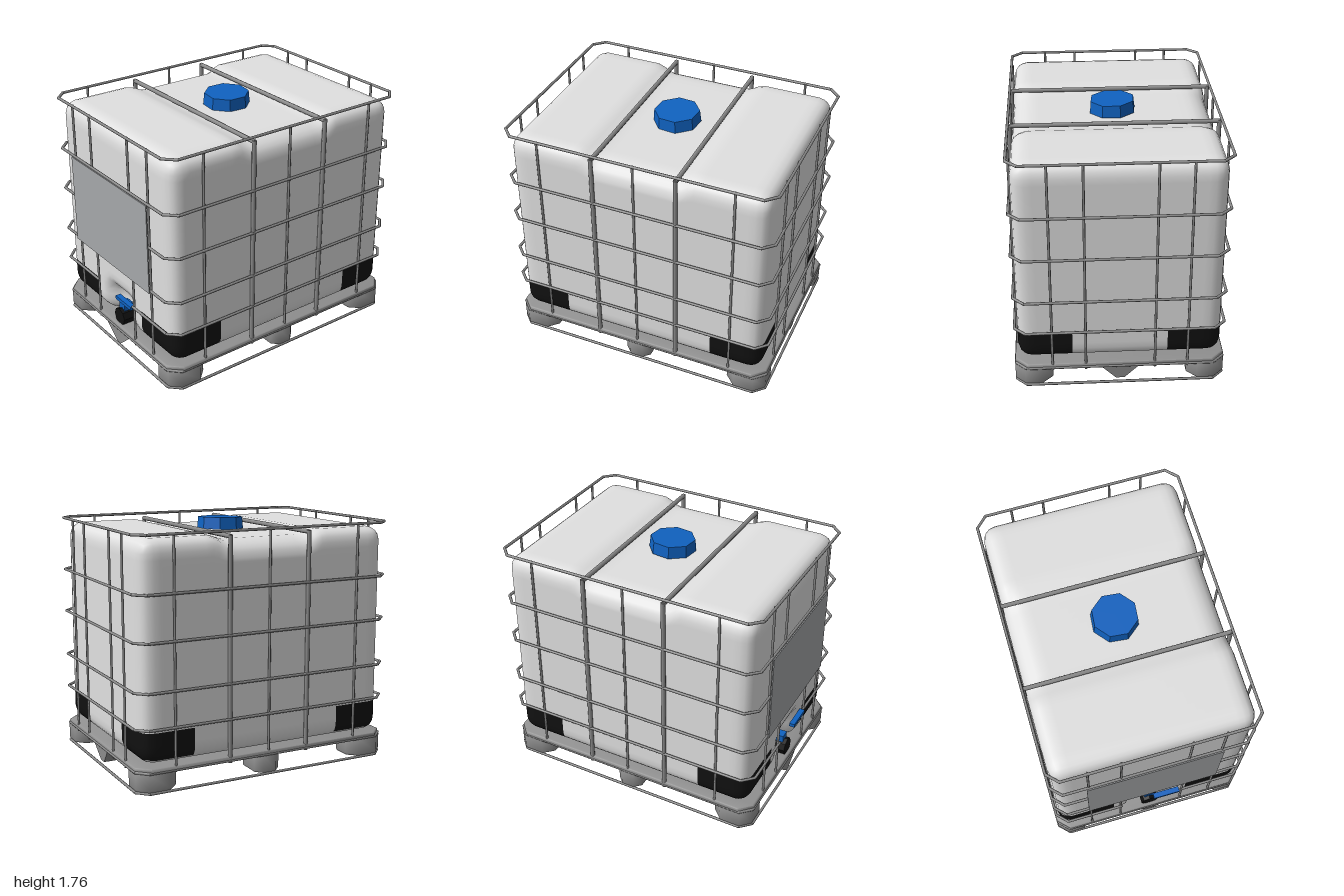
import * as THREE from 'three';
import { mergeVertices, toCreasedNormals } from 'three/addons/utils/BufferGeometryUtils.js';
import { ConvexGeometry } from 'three/addons/geometries/ConvexGeometry.js';

const paint = (name, color) => {
  const m = new THREE.MeshStandardMaterial({ color });
  m.name = name;
  return m;
};
const V = (x, y, z) => new THREE.Vector3(x, y, z);
const { smoothstep, clamp } = THREE.MathUtils;

export function createModel() {
  const model = new THREE.Group();
  const white = paint('tankWhite', 0xe0e0e0);
  const black = paint('guardBlack', 0x111111);
  const steel = paint('cageSteel', 0x8a8a8a);
  const palletGrey = paint('palletGrey', 0x929292);
  const plateGrey = paint('plateGrey', 0xa6a8aa);
  const blue = paint('capBlue', 0x1062c0);

  const add = (name, geometry, material, parent = model) => {
    const mesh = new THREE.Mesh(geometry, material);
    mesh.name = name;
    parent.add(mesh);
    return mesh;
  };
  const group = (name) => {
    const g = new THREE.Group();
    g.name = name;
    model.add(g);
    return g;
  };

  // Tank: fine box, rounded, with a channel across the top and a valve niche in front
  const size = V(1.42, 1.51, 1.89), mid = 0.955, r = 0.1;
  let body = new THREE.BoxGeometry(size.x, size.y, size.z, 30, 33, 40);
  body.deleteAttribute('uv');
  body.deleteAttribute('normal');
  body = mergeVertices(body, 1e-4);
  const pos = body.attributes.position;
  const inner = size.clone().multiplyScalar(0.5).subScalar(r);

  // Lower corner guards are picked out of the same skin before it is bent
  const skin = [], guard = [];
  const idx = body.index.array;
  for (let i = 0; i < idx.length; i += 3) {
    const tri = [idx[i], idx[i + 1], idx[i + 2]];
    const c = V(0, 0, 0);
    tri.forEach((k) => c.add(V(pos.getX(k), pos.getY(k) + mid, pos.getZ(k)).divideScalar(3)));
    const inCorner = c.y > 0.201 && c.y < 0.43 && Math.abs(c.z) > 0.567 &&
      Math.abs(c.x) > (c.z > 0 ? 0.285 : 0.332);
    (inCorner ? guard : skin).push(...tri);
  }
  for (let i = 0; i < pos.count; i++) {
    const p = V(0, 0, 0).fromBufferAttribute(pos, i);
    const core = p.clone().clamp(inner.clone().negate(), inner);
    p.sub(core).setLength(r).add(core);
    p.y += mid;
    const ax = Math.abs(p.x);
    if (p.y > 1.5) {
      const w = 1 - smoothstep(Math.abs(p.z), 0.29, 0.43);
      p.y -= w * (0.035 + 0.03 * smoothstep(ax, 0.55, 0.71)) * smoothstep(p.y, 1.5, 1.62);
    }
    if (p.z > 0.8) {
      p.z -= 0.1 * (1 - smoothstep(ax, 0.09, 0.21)) * (1 - smoothstep(p.y, 0.38, 0.51));
    }
    pos.setXYZ(i, p.x, p.y, p.z);
  }
  body.computeVertexNormals();
  const part = (list) => {
    const g = new THREE.BufferGeometry();
    g.setAttribute('position', pos);
    g.setAttribute('normal', body.attributes.normal);
    g.setIndex(list);
    return g;
  };
  add('tank', part(skin), white);
  add('cornerGuards', part(guard), black);

  // Filler cap, slightly tilted
  const cap = add('fillerCap', toCreasedNormals(new THREE.CylinderGeometry(0.16, 0.168, 0.085, 8), 0.6), blue);
  cap.position.set(0, 1.722, -0.01);
  cap.rotation.set(0.03, 0.3, -0.03);

  // Outlet valve with its lever
  const valve = group('outletValve');
  const spout = new THREE.CylinderGeometry(0.066, 0.066, 0.12, 8).rotateX(Math.PI / 2);
  add('spout', toCreasedNormals(spout, 0.5), black, valve).position.set(0, 0.245, 0.9);
  add('valveNeck', new THREE.BoxGeometry(0.07, 0.06, 0.07), blue, valve).position.set(0, 0.32, 0.9);
  add('valveLever', new THREE.BoxGeometry(0.2, 0.027, 0.04), blue, valve).position.set(0.12, 0.434, 0.975);

  // Cage of round bars
  const cage = group('cage');
  const bar = (name, a, b, radius) => {
    const d = b.clone().sub(a);
    const m = add(name, new THREE.CylinderGeometry(radius, radius, d.length() + radius * 0.6, 8), steel, cage);
    m.position.copy(a).add(b).multiplyScalar(0.5);
    m.quaternion.setFromUnitVectors(V(0, 1, 0), d.normalize());
  };
  const X = 0.728, Z = 0.983, C = 0.075;
  const outline = [
    [C - X, Z], [X - C, Z], [X, Z - C], [X, C - Z],
    [X - C, -Z], [C - X, -Z], [-X, C - Z], [-X, Z - C],
  ];
  for (const y of [0.02, 0.16, 0.455, 0.705, 1.04, 1.357, 1.742]) {
    outline.forEach(([x, z], i) => {
      const [x2, z2] = outline[(i + 1) % 8];
      if (i === 0 && y === 0.455) {
        // the front bar is open in the middle to reach the valve
        bar('hoop', V(x, y, z), V(-0.23, y, z), 0.01);
        bar('hoop', V(0.23, y, z), V(x2, y, z), 0.01);
      } else bar('hoop', V(x, y, z), V(x2, y, z2), 0.01);
    });
  }
  for (const s of [-1, 1]) {
    for (const x of [-0.47, -0.242, 0.24, 0.472]) {
      bar('upright', V(x, 0.14, s * (Z - 0.008)), V(x, 1.742, s * (Z - 0.008)), 0.009);
    }
    for (const z of [-0.715, 0, 0.71]) {
      bar('upright', V(s * (X - 0.008), 0.15, z), V(s * (X - 0.008), 1.742, z), 0.009);
    }
    for (const z of [-0.305, 0.305]) {
      bar('heavyUpright', V(s * (X - 0.008), 0.15, z), V(s * (X - 0.008), 1.71, z), 0.016);
    }
    bar('topCrossbar', V(8e-3 - X, 1.705, s * 0.305), V(X - 8e-3, 1.705, s * 0.305), 0.016);
  }

  // Blank sign plate on the front
  add('signPlate', new THREE.BoxGeometry(0.97, 0.66, 0.008), plateGrey).position.set(-0.003, 1.022, 0.996);

  // Pallet: chamfered blocks extruded upward
  const pallet = group('pallet');
  const block = (name, x0, x1, z0, z1, y0, y1, cut, bevel) => {
    const w = (x1 - x0) / 2 - bevel, d = (z1 - z0) / 2 - bevel;
    const pts = [
      [cut - w, -d], [w - cut, -d], [w, cut - d], [w, d - cut],
      [w - cut, d], [cut - w, d], [-w, d - cut], [-w, cut - d],
    ].map(([x, y]) => new THREE.Vector2(x, y));
    const g = new THREE.ExtrudeGeometry(new THREE.Shape(pts), {
      depth: y1 - y0 - 2 * bevel, bevelThickness: bevel, bevelSize: bevel, bevelSegments: 2,
    });
    g.rotateX(-Math.PI / 2).translate((x0 + x1) / 2, y0 + bevel, (z0 + z1) / 2);
    add(name, toCreasedNormals(g, 0.9), palletGrey, pallet);
  };
  block('deck', -0.735, 0.735, -0.985, 0.985, 0.15, 0.192, 0.08, 0.014);
  for (const s of [-1, 1]) {
    const [x0, x1] = s > 0 ? [0.47, 0.735] : [-0.735, -0.47];
    block('cornerFoot', x0, x1, 0.69, 0.985, 0.022, 0.17, 0.06, 0.02);
    block('cornerFoot', x0, x1, -0.985, -0.69, 0.022, 0.17, 0.06, 0.02);
    block('sideFoot', x0, x1, -0.095, 0.1, 0.025, 0.17, 0.04, 0.015);
  }
  // Pointed front apron, tapered back and centre feet, shallow spine
  add('frontApron', new ConvexGeometry([
    V(-0.19, 0.172, 0.98), V(0.19, 0.172, 0.98), V(0, 0.008, 0.975),
    V(0, 0.05, 0.82), V(-0.09, 0.16, 0.69), V(0.09, 0.16, 0.69),
  ]), palletGrey, pallet);
  const taperedFoot = (name, z0, z1) => {
    const pts = [];
    for (const s of [-1, 1]) {
      for (const z of [z0, z1]) {
        pts.push(V(s * 0.14, 0.16, z), V(s * 0.03, 0.04, z * 0.9 + (z0 + z1) * 0.05));
      }
    }
    add(name, new ConvexGeometry(pts), palletGrey, pallet);
  };
  taperedFoot('backFoot', -0.98, -0.72);
  taperedFoot('centreFoot', -0.09, 0.095);
  add('spine', new THREE.BoxGeometry(0.12, 0.02, 1.6), palletGrey, pallet).position.set(0, 0.155, 0);

  return model;
}
